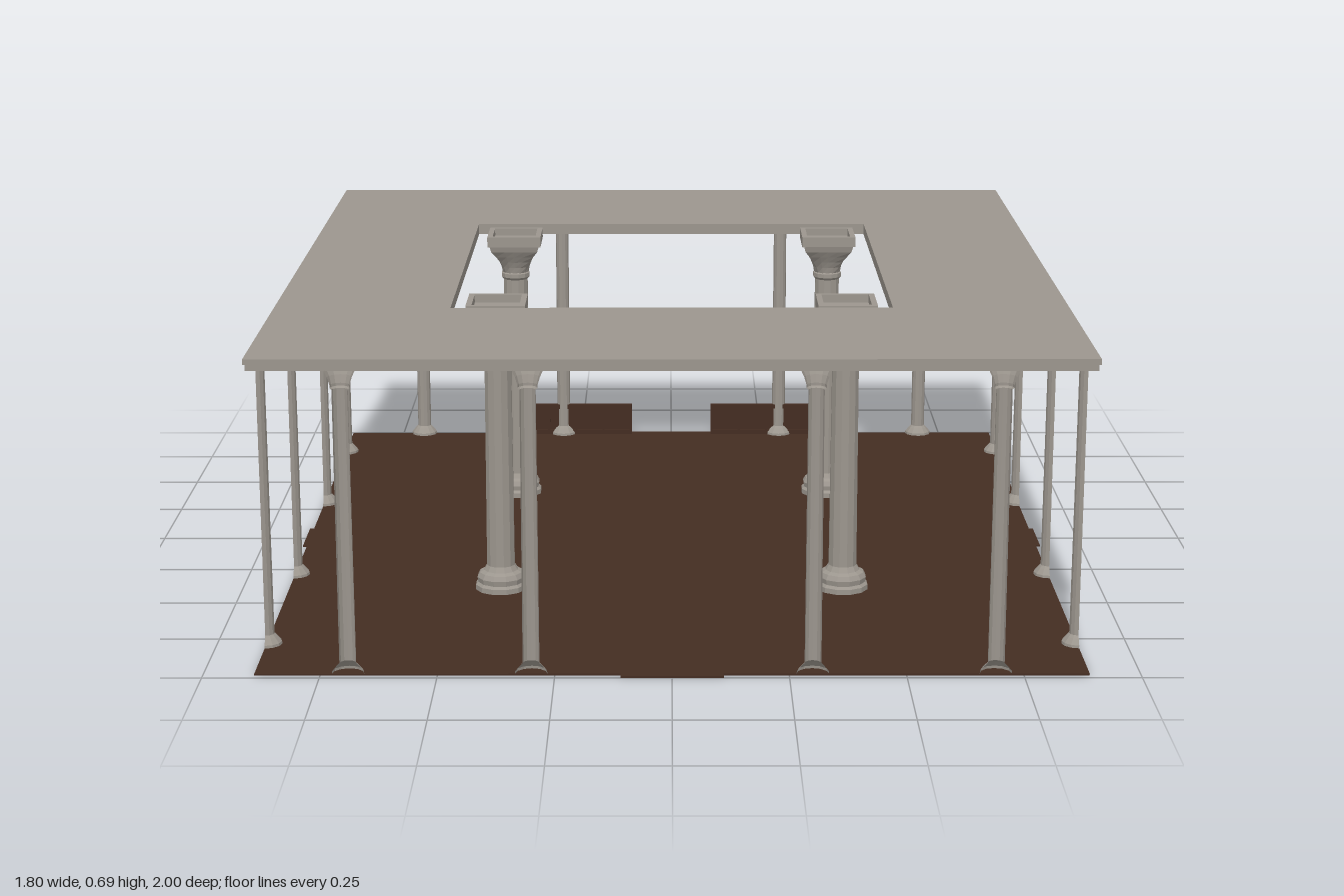
import * as THREE from 'three';

const stone = new THREE.MeshStandardMaterial({ color: 0x9c968e, flatShading: true, side: THREE.DoubleSide });
stone.name = 'stone';
const wood = new THREE.MeshStandardMaterial({ color: 0x442d22, flatShading: true, side: THREE.DoubleSide });
wood.name = 'dark wood';

const W = 0.89, D = 0.985, HOLE = 0.495;

function add(parent, name, geo, mat, x = 0, y = 0, z = 0) {
  const m = new THREE.Mesh(geo, mat);
  m.name = name;
  m.position.set(x, y, z);
  parent.add(m);
  return m;
}

function rect(w, d, Kind = THREE.Shape) {
  const s = new Kind();
  s.moveTo(-w, -d);
  s.lineTo(w, -d);
  s.lineTo(w, d);
  s.lineTo(-w, d);
  s.closePath();
  return s;
}

// horizontal rectangular slab with a rectangular opening
function ring(w, d, iw, id, h) {
  const s = rect(w, d);
  s.holes.push(rect(iw, id, THREE.Path));
  const g = new THREE.ExtrudeGeometry(s, { depth: h, bevelEnabled: false });
  g.rotateX(-Math.PI / 2);
  return g;
}

const profile = pts => pts.map(p => new THREE.Vector2(p[0], p[1]));

// flared capital: round at the neck, square at the top
function capitalGeometry() {
  const y0 = 0.59, h = 0.075;
  const g = new THREE.CylinderGeometry(1, 1, h, 16, 5, true, Math.PI / 16);
  g.rotateY(-Math.PI / 16);
  const radii = [0.033, 0.036, 0.042, 0.05, 0.058, 0.062];
  const p = g.attributes.position;
  for (let i = 0; i < p.count; i++) {
    const t = p.getY(i) / h + 0.5;
    const r = radii[Math.round(t * 5)];
    const x = p.getX(i), z = p.getZ(i);
    const square = 1 / Math.max(Math.abs(x), Math.abs(z));
    const k = r * (1 + (square - 1) * Math.min(1, t * 1.3));
    p.setXYZ(i, x * k, y0 + t * h, z * k);
  }
  g.computeVertexNormals();
  return g;
}

function mainColumn() {
  const col = new THREE.Group();
  col.name = 'mainColumn';
  const shaft = profile([
    [0, 0], [0.06, 0], [0.06, 0.016], [0.054, 0.022], [0.056, 0.034], [0.05, 0.045],
    [0.04, 0.05], [0.033, 0.062], [0.031, 0.572], [0.036, 0.578], [0.036, 0.588], [0.032, 0.592]]);
  add(col, 'columnShaftAndBase', new THREE.LatheGeometry(shaft, 12, Math.PI / 12), stone);
  add(col, 'capital', capitalGeometry(), stone);
  add(col, 'capitalRim', ring(0.067, 0.067, 0.054, 0.054, 0.025), stone, 0, 0.665);
  add(col, 'capitalInset', new THREE.BoxGeometry(0.12, 0.005, 0.12), stone, 0, 0.669);
  return col;
}

// half column whose open flat side lies on the outer edge
const halfProfile = profile([
  [0.035, 0], [0.034, 0.01], [0.024, 0.022], [0.018, 0.028], [0.017, 0.628],
  [0.021, 0.632], [0.021, 0.638], [0.026, 0.655], [0.032, 0.668]]);
const halfGeometry = new THREE.LatheGeometry(halfProfile, 6, Math.PI / 2, Math.PI);

// low railing with raised frame
function railing(side) {
  const g = new THREE.Group();
  g.name = 'lowRailing';
  const x0 = 0.11, x1 = 0.42, mid = (x0 + x1) / 2;
  add(g, 'railingPanel', new THREE.BoxGeometry(x1 - x0, 0.085, 0.006), wood, side * mid, 0.0425, 0);
  for (const y of [0.01, 0.083])
    add(g, 'railingRail', new THREE.BoxGeometry(x1 - x0, 0.012, 0.012), wood, side * mid, y, 0);
  for (let i = 0; i <= 4; i++)
    add(g, 'railingPost', new THREE.BoxGeometry(0.006, 0.085, 0.01), wood,
      side * (x0 + 0.003 + i * (x1 - x0 - 0.006) / 4), 0.0425, 0);
  g.position.z = -D + 0.008;
  return g;
}

export function createModel() {
  const model = new THREE.Group();
  model.name = 'pavilion';

  // floor and thresholds
  add(model, 'floor', new THREE.BoxGeometry(2 * W, 0.004, 2 * D), wood, 0, 0.002);
  for (const s of [-1, 1]) {
    add(model, 'threshold', new THREE.BoxGeometry(0.22, 0.004, 0.015), wood, 0, 0.002, s * 0.9925);
    add(model, 'sideThreshold', new THREE.BoxGeometry(0.01, 0.004, 0.14), wood, s * 0.895, 0.002, 0);
  }

  // roof slab with central opening
  add(model, 'roofLowerMoulding', ring(W - 0.004, D - 0.004, HOLE, HOLE, 0.014), stone, 0, 0.667);
  add(model, 'roofSlab', ring(W, D, HOLE, HOLE, 0.012), stone, 0, 0.681);

  // four main columns inside the opening
  for (const x of [-0.397, 0.397])
    for (const z of [-0.397, 0.397]) {
      const c = mainColumn();
      c.position.set(x, 0, z);
      model.add(c);
    }

  // half columns along the four edges
  for (const s of [-1, 1]) {
    for (const x of [-0.69, -0.3, 0.3, 0.69])
      add(model, 'edgeColumn', halfGeometry, stone, x, 0, s * D).rotation.y = s > 0 ? 0 : Math.PI;
    for (const z of [-0.79, -0.297, 0.297, 0.79])
      add(model, 'sideEdgeColumn', halfGeometry, stone, s * W, 0, z).rotation.y = s * Math.PI / 2;
    model.add(railing(s));
  }
  return model;
}
